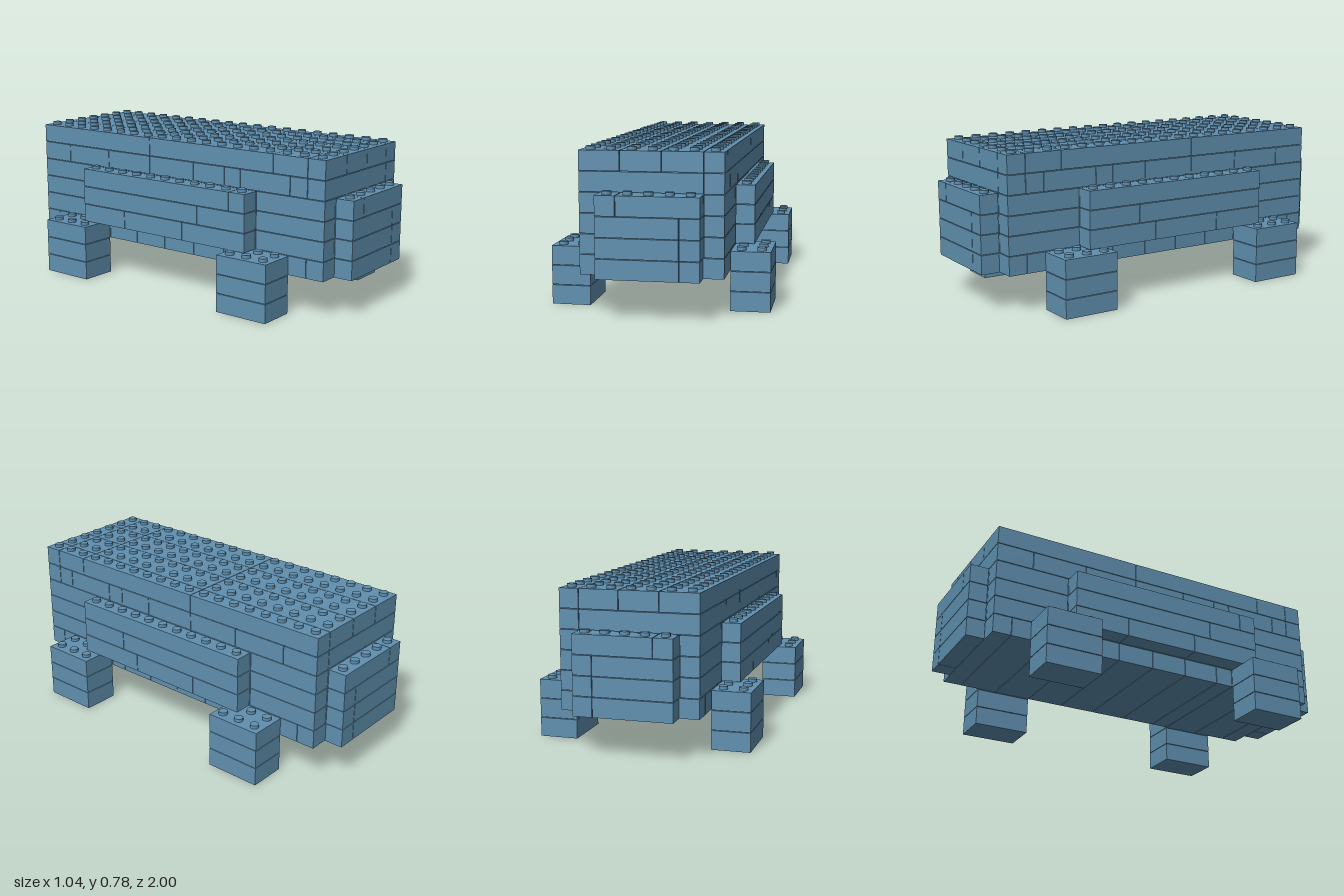
import * as THREE from 'three';
import { mergeGeometries } from 'three/addons/utils/BufferGeometryUtils.js';

const P = 2 / 21;      // stud pitch
const H = 0.0954;      // brick height
const GAP = 0.003;     // seam between bricks

const brickBlue = new THREE.MeshStandardMaterial({ color: 0x6090b0 });
brickBlue.name = 'brickBlue';

// One brick; x and z limits in studs, layer counted from the ground
function brick(x0, x1, z0, z1, layer) {
  const g = new THREE.BoxGeometry((x1 - x0) * P - GAP, H - GAP, (z1 - z0) * P - GAP);
  return g.translate((x0 + x1) / 2 * P, (layer + 0.5) * H, (z0 + z1) / 2 * P);
}

// A course of bricks divided at the given x and z cuts
function course(layer, xs, zs) {
  const out = [];
  for (let i = 0; i < xs.length - 1; i++)
    for (let j = 0; j < zs.length - 1; j++)
      out.push(brick(xs[i], xs[i + 1], zs[j], zs[j + 1], layer));
  return out;
}

// Studs covering a rectangle on top of a layer, with an optional skip test
function studs(x0, x1, z0, z1, layer, skip = () => false) {
  const out = [];
  for (let x = x0 + 0.5; x < x1; x++)
    for (let z = z0 + 0.5; z < z1; z++) {
      if (skip(x, z)) continue;
      const g = new THREE.CylinderGeometry(0.022, 0.022, 0.017, 16);
      out.push(g.translate(x * P, (layer + 1) * H + 0.006, z * P));
    }
  return out;
}

export function createModel() {
  const model = new THREE.Group();
  model.name = 'brickModel';
  const add = (name, geometries) => {
    const mesh = new THREE.Mesh(mergeGeometries(geometries), brickBlue);
    mesh.name = name;
    model.add(mesh);
  };

  // Bottom course of planks laid across the body
  add('floor', course(2, [-3.5, 3.5], [-9.5, -8.5, -6.5, -4.5, -2.5, -0.5, 1.5, 3.5, 4.5, 6.5, 8.5, 9.5]));

  // Middle courses of the body
  add('bodyWalls', [
    ...course(3, [-3.5, -2.5, 2.5, 3.5], [-9.5, -5.5, 0.5, 5.5, 9.5]),
    ...course(4, [-3.5, -2.5, 2.5, 3.5], [-9.5, -5.5, -1.5, 5.5, 9.5]),
    ...course(5, [-3.5, -2.5, 2.5, 3.5], [-9.5, -5.5, 2.5, 5.5, 9.5]),
  ]);

  // Upper courses
  add('upperBody', course(6, [-3.5, 2.5, 3.5], [-9.5, -7.5, -4.5, -1.5, 1.5, 3.5, 4.5, 7.5, 8.5, 9.5]));
  add('roof', course(7, [-3.5, -1.5, 0.5, 2.5, 3.5], [-9.5, -1.5, 6.5, 8.5, 9.5]));
  add('roofStuds', studs(-3.5, 3.5, -9.5, 9.5, 7));

  // Stepped blocks on the front and back ends
  for (const [name, z] of [['front', 9.5], ['back', -10.5]]) {
    const zs = [z, z + 1];
    add(name + 'Block', [
      ...course(2, [-2.5, 1.5, 2.5], zs),
      ...course(3, [-2.5, 1.5, 2.5], zs),
      ...course(4, [-2.5, 1.5, 2.5], zs),
      ...course(5, [-2.5, -1.5, 2.5], zs),
    ]);
    add(name + 'BlockStuds', studs(-2.5, 2.5, z, z + 1, 5));
  }

  for (const [name, s] of [['left', 1], ['right', -1]]) {
    // Long ledge on each side
    const x = s > 0 ? 3.5 : -4.5;
    add(name + 'Ledge', [
      ...course(3, [x, x + 1], [-5.5, -2.5, 1.5, 5.5]),
      ...course(4, [x, x + 1], [-5.5, 2.5, 5.5]),
      ...course(5, [x, x + 1], s > 0 ? [-5.5, 5.5] : [-5.5, 4.5, 5.5]),
    ]);
    add(name + 'LedgeStuds', studs(x, x + 1, -5.5, 5.5, 5));

    // Legs, with studs left out beneath the ledge
    for (const [end, z] of [['Front', 4.5], ['Back', -7.5]]) {
      const lx = s > 0 ? 3.5 : -5.5;
      add(name + end + 'Leg', [0, 1, 2].map((k) => brick(lx, lx + 2, z, z + 3, k)));
      add(name + end + 'LegStuds',
        studs(lx, lx + 2, z, z + 3, 2, (a, b) => Math.abs(a) < 4.5 && Math.abs(b) < 5.5));
    }
  }
  return model;
}
